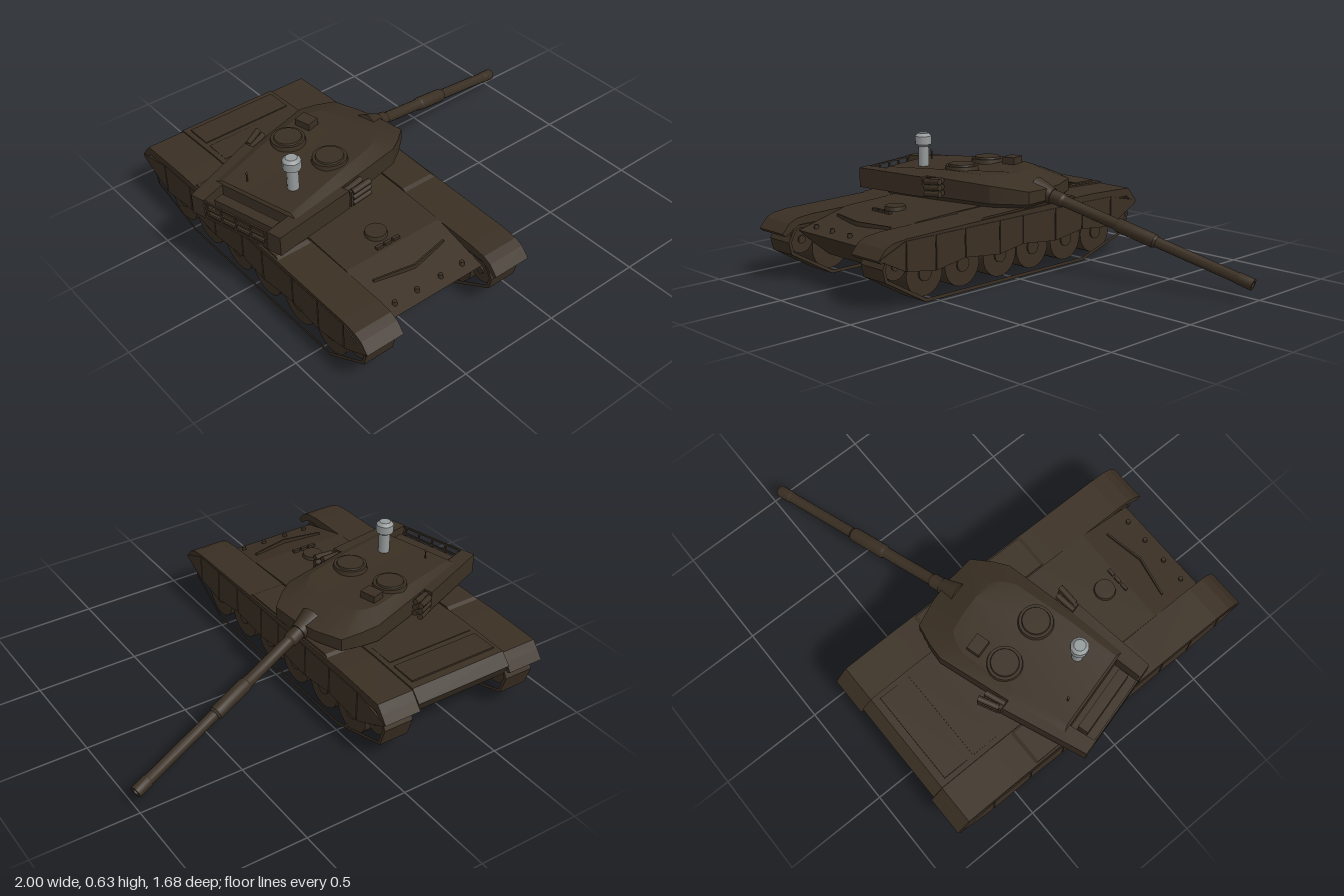
import * as THREE from 'three';
import { toCreasedNormals } from 'three/addons/utils/BufferGeometryUtils.js';

const brown = new THREE.MeshStandardMaterial({ color: 0x3a2f23 });
brown.name = 'dark olive brown';
const grey = new THREE.MeshStandardMaterial({ color: 0x959a9a });
grey.name = 'light grey';

const HULL_X = -0.445; // centre line of the hull

function add(parent, name, geometry, x = 0, y = 0, z = 0, material = brown) {
  const mesh = new THREE.Mesh(geometry, material);
  mesh.name = name;
  mesh.position.set(x, y, z);
  parent.add(mesh);
  return mesh;
}

const box = (w, h, d) => new THREE.BoxGeometry(w, h, d);
const drum = (r1, r2, h, n = 20) => new THREE.CylinderGeometry(r1, r2, h, n);

// Side profile given as [z, y] points, extruded from x0 to x1
function slab(points, x0, x1, hole) {
  const toVec = (p) => new THREE.Vector2(p[0], p[1]);
  const shape = new THREE.Shape(points.map(toVec));
  if (hole) shape.holes.push(new THREE.Path(hole.map(toVec)));
  const g = new THREE.ExtrudeGeometry(shape, { depth: x1 - x0, bevelEnabled: false });
  return g.rotateY(-Math.PI / 2).translate(x1, 0, 0);
}

// Closed solid through rings of [x, y, z], clockwise from above, lowest first
function loft(rings) {
  const n = rings[0].length, index = [];
  for (let r = 0; r < rings.length - 1; r++) {
    for (let i = 0; i < n; i++) {
      const a = r * n + i, b = r * n + (i + 1) % n;
      index.push(b, a, a + n, b, a + n, b + n);
    }
  }
  const top = (rings.length - 1) * n;
  for (let i = 1; i < n - 1; i++) {
    index.push(0, i, i + 1, top, top + i + 1, top + i);
  }
  const g = new THREE.BufferGeometry();
  g.setAttribute('position', new THREE.Float32BufferAttribute(rings.flat(2), 3));
  g.setIndex(index);
  return toCreasedNormals(g, 0.3);
}

function buildHull() {
  const hull = new THREE.Group();
  hull.name = 'hull';
  add(hull, 'hullBody', slab([[0.75, 0.245], [0.47, 0.32], [0.2, 0.332], [-0.5, 0.343], [-0.78, 0.333],
    [-0.83, 0.28], [-0.8, 0.22], [-0.62, 0.1], [0.58, 0.1], [0.7, 0.2]], -0.7, -0.19));

  // Driver's hatch and its periscopes
  add(hull, 'driverHatch', drum(0.048, 0.052, 0.02), -0.46, 0.332, 0.37);
  for (let i = -1; i <= 1; i++) add(hull, 'periscope', box(0.035, 0.014, 0.016), -0.46 + i * 0.045, 0.327, 0.45);
  // Lamps on the glacis and splash board
  for (const x of [-0.63, -0.51, -0.38, -0.26]) add(hull, 'glacisStud', drum(0.01, 0.012, 0.024, 10), x, 0.264, 0.7);
  for (const s of [-1, 1]) {
    const board = add(hull, 'splashBoard', box(0.2, 0.02, 0.008), HULL_X + s * 0.095, 0.295, 0.59);
    board.rotation.y = s * 0.2;
  }
  // Engine deck panels
  for (const z of [-0.68, -0.52]) add(hull, 'engineDeckPanel', box(0.46, 0.008, 0.13), HULL_X, 0.34, z);
  return hull;
}

// One running gear side, built around x = 0 with the outside toward +x
function buildSide() {
  const side = new THREE.Group();
  side.name = 'runningGear';
  add(side, 'track', slab(
    [[0.8, 0.19], [0.785, 0.13], [0.56, 0], [-0.47, 0], [-0.78, 0.095], [-0.81, 0.19], [-0.77, 0.265], [0.76, 0.265]],
    -0.075, 0.075,
    [[0.785, 0.19], [0.772, 0.14], [0.555, 0.016], [-0.468, 0.016], [-0.768, 0.107], [-0.795, 0.19], [-0.76, 0.25], [0.75, 0.25]]));

  // Road wheels, with idler and sprocket at the ends
  const wheel = (name, z, y, r) => {
    add(side, name, drum(r, r, 0.135, 24).rotateZ(Math.PI / 2), 0, y, z);
    add(side, name + 'Hub', drum(r * 0.3, r * 0.35, 0.15, 12).rotateZ(Math.PI / 2), 0, y, z);
  };
  for (const z of [0.56, 0.335, 0.1, -0.115, -0.345, -0.56]) wheel('roadWheel', z, 0.132, 0.105);
  wheel('idlerWheel', 0.725, 0.195, 0.066);
  wheel('driveSprocket', -0.73, 0.195, 0.068);

  // Fender with drooping ends
  add(side, 'fender', slab([[0.84, 0.24], [0.8, 0.285], [0.76, 0.303], [0.68, 0.312], [0.3, 0.32], [-0.5, 0.335],
    [-0.78, 0.325], [-0.81, 0.29], [-0.842, 0.25], [-0.825, 0.24], [-0.77, 0.285], [0.75, 0.27], [0.825, 0.225]], -0.088, 0.099));
  add(side, 'fenderBin', slab([[0.24, 0.32], [0.22, 0.33], [-0.38, 0.343], [-0.4, 0.33]], -0.08, 0.09));

  // Skirt panels with a zigzag lower edge: [z, lower y, upper y]
  const cuts = [[0.835, 0.238, 0.245], [0.69, 0.168, 0.303], [0.52, 0.142, 0.303], [0.345, 0.168, 0.303], [0.13, 0.145, 0.303],
    [-0.02, 0.168, 0.303], [-0.24, 0.145, 0.303], [-0.43, 0.17, 0.303], [-0.64, 0.148, 0.3], [-0.835, 0.242, 0.256]];
  for (let i = 0; i < cuts.length - 1; i++) {
    const [z0, l0, u0] = cuts[i], [z1, l1, u1] = cuts[i + 1];
    const outline = [[z0 - 0.003, u0], [z1 + 0.003, u1], [z1 + 0.003, l1], [z0 - 0.003, l0]];
    add(side, 'skirtPanel', slab(outline, 0.093, 0.103));
  }
  return side;
}

function buildTurret() {
  const turret = new THREE.Group();
  turret.name = 'turret';
  turret.position.set(-0.452, 0, -0.11);
  turret.rotation.y = 0.26;

  // Half outlines as [x, y, z], front to back
  const wall = [[0.46, 0.41, 0.06], [0.44, 0.415, 0.195], [0.35, 0.43, 0.24], [0.27, 0.44, 0.268], [-0.08, 0.45, 0.25], [-0.37, 0.45, 0.225]];
  const roof = [[0.3, 0.472, 0.05], [0.29, 0.472, 0.14], [0.25, 0.474, 0.175], [0.19, 0.476, 0.2], [-0.08, 0.478, 0.2], [-0.36, 0.462, 0.19]];
  const mirror = (half) => [...half, ...half.map(([x, y, z]) => [x, y, -z]).reverse()];
  const flat = (y, sx, sz) => mirror(wall.map(([x, , z]) => [x * sx, y, z * sz]));
  add(turret, 'turretShell', loft([flat(0.325, 0.92, 0.88), flat(0.355, 1, 1), mirror(wall), mirror(roof)]));

  // Side stowage bins tapering to the rear, with smoke tubes ahead
  for (const s of [-1, 1]) {
    const foot = [[-0.09, 0.295], [-0.5, 0.245], [-0.5, 0.175], [-0.09, 0.2]];
    if (s < 0) foot.reverse();
    add(turret, 'stowageBin', loft([foot.map(([x, z]) => [x, 0.355, z * s]), foot.map(([x, z]) => [x, 0.452, z * s])]));
    for (let row = 0; row < 3; row++) {
      for (let col = 0; col < 2; col++) {
        const tube = add(turret, 'smokeTube', drum(0.014, 0.014, 0.1, 10).rotateZ(-Math.PI / 2 + 0.1),
          -0.035 + col * 0.012, 0.378 + row * 0.03, s * (0.272 + col * 0.034));
        tube.rotation.y = -s * (0.12 + col * 0.1);
      }
    }
    add(turret, 'smokeTubeBracket', box(0.03, 0.08, 0.07), -0.07, 0.4, s * 0.265);
  }

  // Open rear rack
  add(turret, 'rackFloor', box(0.14, 0.012, 0.36), -0.43, 0.365, 0);
  for (const y of [0.38, 0.41, 0.445]) add(turret, 'rackRail', box(0.008, 0.008, 0.38), -0.496, y, 0);
  for (let i = -2; i <= 2; i++) add(turret, 'rackPost', box(0.008, 0.09, 0.008), -0.496, 0.405, i * 0.08);
  add(turret, 'rackStowage', box(0.05, 0.06, 0.32), -0.425, 0.4, 0);

  // Hatches, sight and aerial on the roof
  for (const [x, z] of [[0.016, -0.13], [0.015, 0.107]]) {
    add(turret, 'hatchRing', drum(0.078, 0.082, 0.022, 24), x, 0.481, z);
    add(turret, 'hatchLid', drum(0.062, 0.066, 0.01, 24), x, 0.495, z);
  }
  add(turret, 'gunnerSight', box(0.065, 0.035, 0.08), 0.157, 0.492, -0.135);
  add(turret, 'aerial', drum(0.003, 0.004, 0.05, 6), -0.3, 0.48, -0.1);
  add(turret, 'aerialTip', new THREE.SphereGeometry(0.007, 8, 6), -0.3, 0.503, -0.1);

  // Weather mast
  const mast = new THREE.Group();
  mast.name = 'sensorMast';
  mast.position.set(-0.22, 0, 0.09);
  turret.add(mast);
  add(mast, 'mastPost', drum(0.027, 0.027, 0.12, 10), 0, 0.515, 0, grey);
  add(mast, 'mastHead', drum(0.042, 0.042, 0.04, 10), 0, 0.593, 0, grey);
  add(mast, 'mastCollar', drum(0.042, 0.027, 0.012, 10), 0, 0.568, 0, grey);
  add(mast, 'mastCap', drum(0.027, 0.042, 0.014, 10), 0, 0.62, 0, grey);
  return turret;
}

function buildGun() {
  const gun = new THREE.Group();
  gun.name = 'gun';
  const start = new THREE.Vector3(-0.06, 0.393, -0.185), end = new THREE.Vector3(0.993, 0.079, -0.457);
  const length = start.distanceTo(end);
  gun.position.copy(start);
  gun.quaternion.setFromUnitVectors(new THREE.Vector3(0, 1, 0), end.clone().sub(start).normalize());
  // Barrel profile as [radius, fraction of length]
  const profile = [[0, 0], [0.034, 0], [0.034, 0.12], [0.027, 0.13], [0.027, 0.38], [0.033, 0.39], [0.033, 0.56],
    [0.025, 0.57], [0.025, 0.93], [0.028, 0.935], [0.028, 1], [0.016, 1], [0.016, 0.95], [0, 0.95]];
  const lathe = new THREE.LatheGeometry(profile.map(([r, t]) => new THREE.Vector2(r, t * length)), 16);
  add(gun, 'barrel', toCreasedNormals(lathe, 0.5));
  add(gun, 'mantlet', drum(0.04, 0.06, 0.1, 12), 0, 0.03, 0);
  return gun;
}

export function createModel() {
  const model = new THREE.Group();
  model.name = 'tank';
  model.add(buildHull());
  for (const s of [-1, 1]) {
    const side = buildSide();
    side.name = s > 0 ? 'leftRunningGear' : 'rightRunningGear';
    side.position.x = HULL_X + s * 0.342;
    // Mirror the geometry so that faces keep pointing outward
    if (s < 0) side.scale.x = -1;
    model.add(side);
  }
  model.add(buildTurret(), buildGun());
  return model;
}
